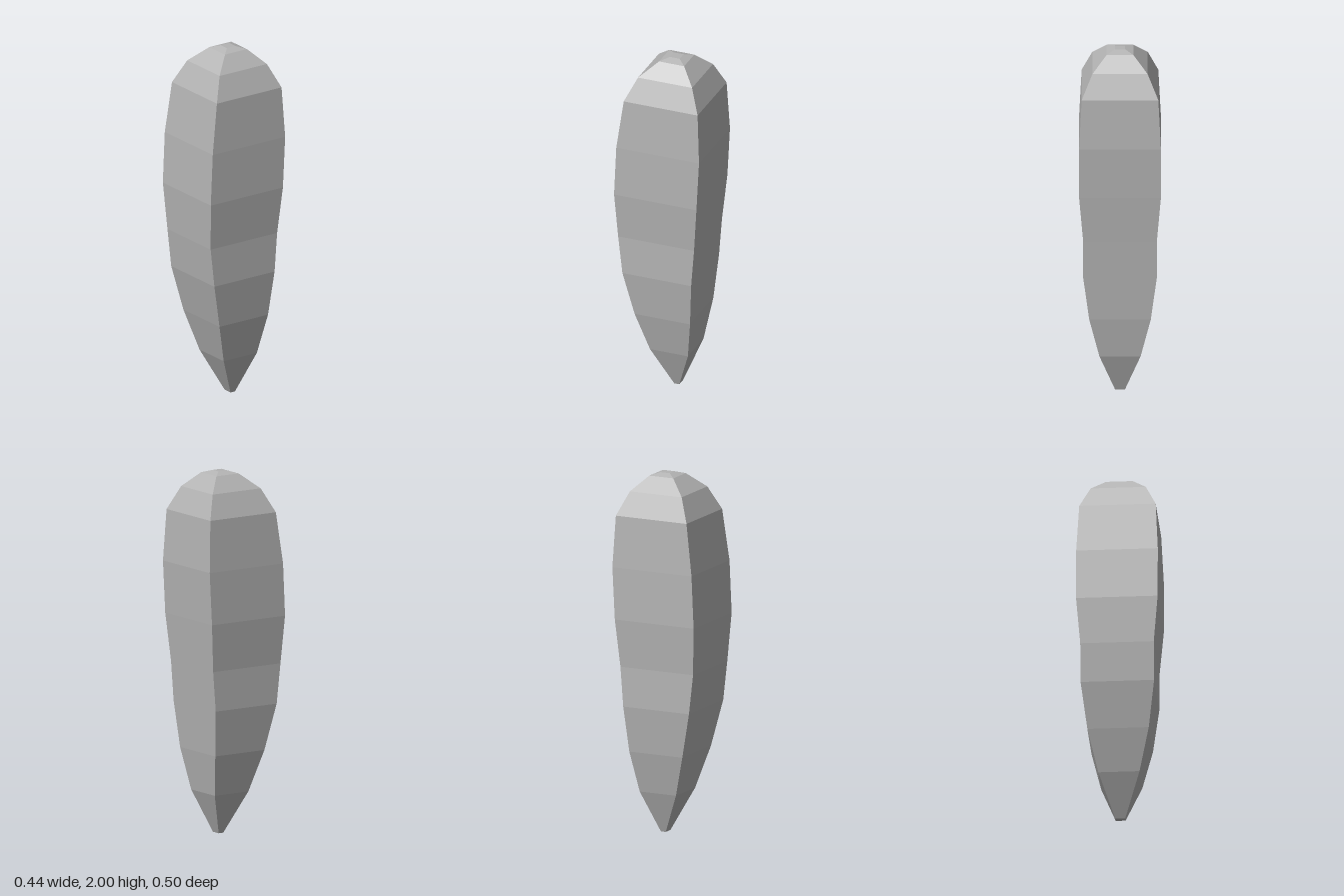
import * as THREE from 'three';

// Cross-sections from tip to crown: [y, half width, back z, front z]
const SECTIONS = [
  [0, 0.027, -0.055, -0.025],
  [0.23, 0.112, -0.14, 0.082],
  [0.46, 0.167, -0.175, 0.15],
  [0.715, 0.2, -0.195, 0.208],
  [0.935, 0.2, -0.212, 0.233],
  [1.2, 0.222, -0.235, 0.248],
  [1.49, 0.222, -0.25, 0.235],
  [1.775, 0.208, -0.236, 0.197],
  [1.905, 0.15, -0.18, 0.137],
  [1.985, 0.073, -0.102, 0.045],
  [2, 0.028, -0.057, 0],
];

// Joins rectangular rings into a closed, faceted solid
function loftRectangles(sections) {
  const rings = sections.map(([y, w, back, front]) => [
    [-w, y, front], [w, y, front], [w, y, back], [-w, y, back],
  ]);
  const positions = [];
  const quad = (a, b, c, d) => positions.push(...a, ...b, ...c, ...a, ...c, ...d);

  for (let i = 0; i < rings.length - 1; i++) {
    const lower = rings[i], upper = rings[i + 1];
    for (let j = 0; j < 4; j++) {
      const k = (j + 1) % 4;
      quad(lower[j], lower[k], upper[k], upper[j]);
    }
  }
  quad(...rings[rings.length - 1]); // crown cap
  quad(...[...rings[0]].reverse()); // tip cap

  const geometry = new THREE.BufferGeometry();
  geometry.setAttribute('position', new THREE.Float32BufferAttribute(positions, 3));
  geometry.computeVertexNormals(); // unshared corners keep every facet flat
  return geometry;
}

export function createModel() {
  const group = new THREE.Group();
  group.name = 'taperedSpike';

  const grey = new THREE.MeshStandardMaterial({ color: 0xb4b4b4 });
  grey.name = 'grey';

  const body = new THREE.Mesh(loftRectangles(SECTIONS), grey);
  body.name = 'spikeBody';
  group.add(body);
  return group;
}
